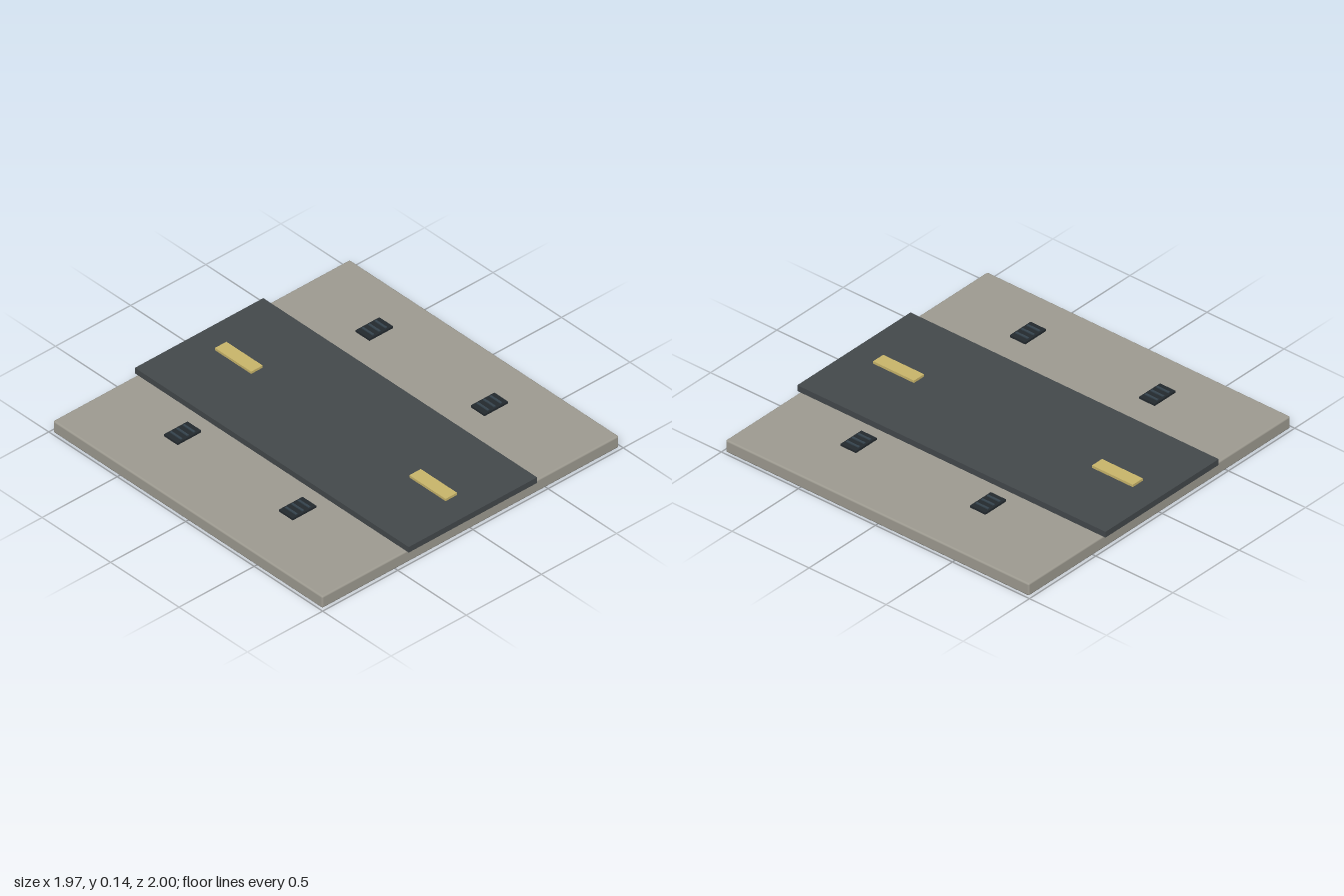
import * as THREE from 'three';
import { RoundedBoxGeometry } from 'three/addons/geometries/RoundedBoxGeometry.js';

const mat = (color) => new THREE.MeshStandardMaterial({ color });

export function createModel() {
  const model = new THREE.Group();
  const concrete = mat(0x9d9a90);
  const asphalt = mat(0x43484b);
  const paint = mat(0xc8b46a);
  const iron = mat(0x23292e);
  const steel = mat(0x34424c);

  // Adds a named mesh whose underside sits at height y
  const add = (parent, name, geometry, material, x, y, z, height) => {
    const mesh = new THREE.Mesh(geometry, material);
    mesh.name = name;
    mesh.position.set(x, y + height / 2, z);
    parent.add(mesh);
  };

  // Paved ground tile with softened edges
  add(model, 'groundSlab', new RoundedBoxGeometry(1.974, 0.072, 1.968, 2, 0.01), concrete, 0, 0, 0, 0.072);

  // Road strip, slightly longer than the tile
  add(model, 'road', new THREE.BoxGeometry(0.854, 0.034, 2), asphalt, 0, 0.072, 0, 0.034);

  // Centre line dashes
  const dash = new THREE.BoxGeometry(0.076, 0.014, 0.265);
  for (const side of [-1, 1]) add(model, 'laneDash', dash, paint, 0, 0.106, side * 0.71, 0.014);

  // Drain grates hovering above each pavement, with three bars each
  const plate = new THREE.BoxGeometry(0.157, 0.012, 0.1);
  const bar = new THREE.BoxGeometry(0.012, 0.01, 0.08);
  for (const sx of [-1, 1]) {
    for (const sz of [-1, 1]) {
      const grate = new THREE.Group();
      grate.name = 'drainGrate';
      grate.position.set(sx * 0.638, 0.123, sz * 0.42);
      add(grate, 'gratePlate', plate, iron, 0, 0, 0, 0.012);
      for (const i of [-1, 0, 1]) add(grate, 'grateBar', bar, steel, i * 0.043, 0.007, 0, 0.01);
      model.add(grate);
    }
  }
  return model;
}
